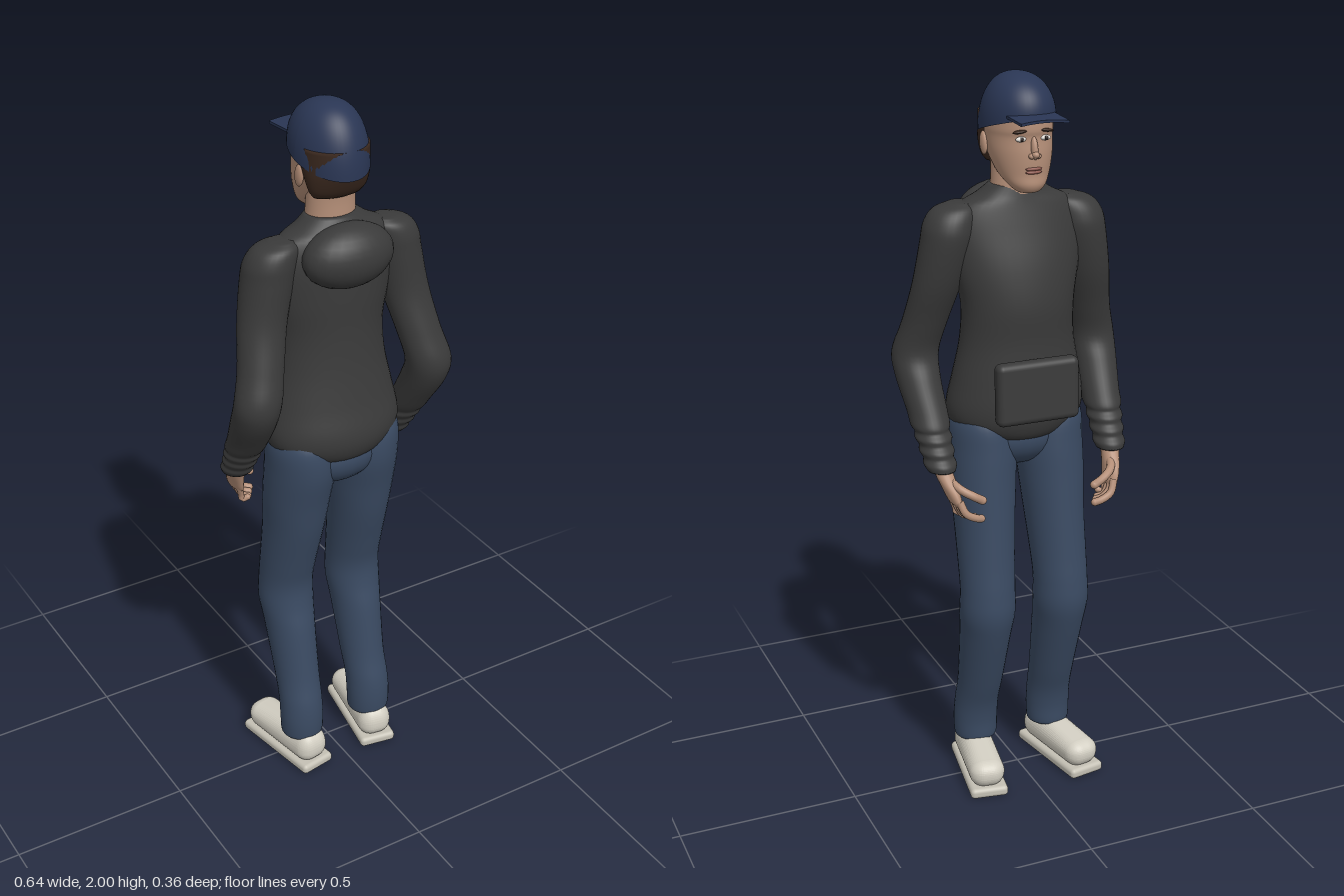
import * as THREE from 'three';
import { RoundedBoxGeometry } from 'three/addons/geometries/RoundedBoxGeometry.js';

const mat = (color, side = THREE.FrontSide) => new THREE.MeshStandardMaterial({ color, side });
const JACKET = mat(0x3a3a3a), JEANS = mat(0x3a4a62), CAP = mat(0x2a3654, THREE.DoubleSide);
const SKIN = mat(0xb58f78), HAIR = mat(0x3a281e), SHOE = mat(0xd2cec2), SOLE = mat(0xc4c0b4);
const WHITE = mat(0xe6e2dc), DARK = mat(0x2a2220), LIPS = mat(0x8f5a50);

export function createModel() {
  const model = new THREE.Group();
  const add = (name, geometry, material, parent = model) => {
    const mesh = new THREE.Mesh(geometry, material);
    mesh.name = name;
    parent.add(mesh);
    return mesh;
  };
  const ball = (name, material, [x, y, z], [rx, ry, rz], parent = model) => {
    const mesh = add(name, new THREE.SphereGeometry(1, 24, 16), material, parent);
    mesh.position.set(x, y, z);
    mesh.scale.set(rx, ry, rz);
    return mesh;
  };

  // Smooth skin over horizontal ellipses, listed top to bottom: [x, y, z, rx, rz]
  function loft(sections, sides = 32, steps = 5) {
    const curve = (f) => new THREE.CatmullRomCurve3(sections.map(f), false, 'catmullrom', 0.5);
    const centres = curve((s) => new THREE.Vector3(s[0], s[1], s[2]));
    const radii = curve((s) => new THREE.Vector3(s[3], 0, s[4]));
    const rows = (sections.length - 1) * steps;
    const rings = [];
    for (let i = 0; i <= rows; i++) rings.push([centres.getPoint(i / rows), radii.getPoint(i / rows)]);
    const closed = new THREE.Vector3(1e-4, 0, 1e-4);
    rings.unshift([rings[0][0], closed]);
    rings.push([rings[rings.length - 1][0], closed]);
    const pos = [], index = [];
    rings.forEach(([c, r], i) => {
      for (let j = 0; j < sides; j++) {
        const a = (j / sides) * Math.PI * 2;
        pos.push(c.x + r.x * Math.cos(a), c.y, c.z + r.z * Math.sin(a));
        if (i === rings.length - 1) continue;
        const p = i * sides + j, q = i * sides + ((j + 1) % sides);
        index.push(p, q, p + sides, q, q + sides, p + sides);
      }
    });
    const g = new THREE.BufferGeometry();
    g.setAttribute('position', new THREE.Float32BufferAttribute(pos, 3));
    g.setIndex(index);
    g.computeVertexNormals();
    return g;
  }
  // Section of a centred part: [y, half width, back z, front z]
  const body = (list) => loft(list.map(([y, rx, b, f]) => [0, y, (b + f) / 2, rx, (b - f) / 2]), 40);

  // Jacket body, hood and front pocket
  add('jacketBody', body([
    [1.715, 0.07, 0.075, -0.04], [1.69, 0.105, 0.088, -0.045], [1.66, 0.16, 0.097, -0.052],
    [1.6, 0.185, 0.107, -0.068], [1.5, 0.175, 0.11, -0.095], [1.4, 0.157, 0.11, -0.11],
    [1.3, 0.16, 0.118, -0.106], [1.2, 0.18, 0.135, -0.11], [1.12, 0.194, 0.153, -0.112],
    [1.07, 0.18, 0.148, -0.105], [1.035, 0.13, 0.125, -0.085], [1.02, 0.07, 0.08, -0.04],
  ]), JACKET);
  ball('hood', JACKET, [0, 1.622, 0.1], [0.128, 0.085, 0.078]);
  const pocket = add('frontPocket', new RoundedBoxGeometry(0.234, 0.17, 0.045, 4, 0.018), JACKET);
  pocket.position.set(0, 1.185, -0.13);
  pocket.rotation.x = 0.03;

  // Seat of the trousers
  ball('trouserSeat', JEANS, [0, 1.03, 0.025], [0.15, 0.095, 0.11]);

  for (const s of [-1, 1]) {
    const shift = s < 0 ? -0.018 : 0;

    // Sleeve, with gathered folds at the cuff
    const arm = new THREE.Group();
    arm.name = 'arm';
    model.add(arm);
    const sleeve = [
      [0.15, 1.672, 0.03, 0.03, 0.03], [0.165, 1.655, 0.028, 0.06, 0.055], [0.18, 1.62, 0.025, 0.07, 0.068],
      [0.19, 1.57, 0.025, 0.07, 0.07], [0.212, 1.46, 0.04, 0.066, 0.062], [0.235, 1.35, 0.075, 0.062, 0.058],
      [0.255, 1.265, 0.098, 0.064, 0.06], [0.257, 1.2, 0.077, 0.06, 0.066], [0.251, 1.12, 0.03, 0.054, 0.06],
    ];
    for (let k = 0; k < 8; k++) {
      const t = k / 7, fold = k % 2 ? -0.0025 : 0.0025;
      sleeve.push([0.25 - 0.006 * t, 1.085 - 0.11 * t, 0.008 - 0.066 * t, 0.05 - 0.01 * t + fold, 0.054 - 0.01 * t + fold]);
    }
    add('sleeve', loft(sleeve.map(([x, y, z, rx, rz]) => [s * x, y, z + shift * Math.min(1, (1.67 - y) / 0.4), rx, rz])), JACKET, arm);

    // Hand: palm, four fingers, thumb
    const hand = new THREE.Group();
    hand.name = 'hand';
    hand.position.z = shift;
    arm.add(hand);
    add('palm', loft([
      [0.243, 1.0, -0.045, 0.026, 0.028], [0.24, 0.965, -0.066, 0.024, 0.03], [0.232, 0.93, -0.088, 0.02, 0.038],
      [0.224, 0.9, -0.1, 0.016, 0.038], [0.219, 0.887, -0.104, 0.009, 0.03],
    ].map(([x, ...rest]) => [s * x, ...rest]), 20), SKIN, hand);
    const digit = (name, points, r) => {
      const path = points.map(([x, y, z]) => new THREE.Vector3(s * x, y, z));
      add(name, new THREE.TubeGeometry(new THREE.CatmullRomCurve3(path), 10, r, 10), SKIN, hand);
      ball(name + 'Tip', SKIN, path[path.length - 1].toArray(), [r, r, r], hand);
    };
    for (let k = 0; k < 4; k++) {
      const z = -0.13 + k * 0.019, tip = 0.163 + k * 0.012;
      digit('finger', [[0.222 + k * 0.002, 0.905, z], [0.208 + k * 0.003, 0.872, z - 0.01],
        [tip + 0.015, 0.855, z - 0.011], [tip, 0.85 + (k === 3 ? 0.01 : 0), z - 0.006]], 0.0105 - k * 0.0006);
    }
    digit('thumb', [[0.232, 0.95, -0.085], [0.215, 0.935, -0.122], [0.186, 0.918, -0.138], [0.16, 0.902, -0.137]], 0.0115);

    // Trouser leg
    add('trouserLeg', loft([
      [0.11, 1.13, 0.03, 0.05, 0.07], [0.105, 1.08, 0.025, 0.083, 0.103], [0.099, 1.0, 0.02, 0.093, 0.11],
      [0.102, 0.9, 0.005, 0.09, 0.103], [0.104, 0.8, -0.01, 0.083, 0.097], [0.108, 0.68, -0.033, 0.078, 0.086],
      [0.11, 0.6, -0.047, 0.076, 0.081], [0.111, 0.53, -0.046, 0.077, 0.084], [0.111, 0.45, -0.027, 0.07, 0.083],
      [0.111, 0.3, 0.01, 0.063, 0.07], [0.113, 0.22, 0.034, 0.062, 0.065], [0.114, 0.16, 0.043, 0.063, 0.062],
      [0.114, 0.11, 0.043, 0.061, 0.06], [0.114, 0.1, 0.043, 0.055, 0.054],
    ].map(([x, ...rest]) => [s * x, ...rest])), JEANS);

    // Shoe, toes turned outwards
    const shoe = new THREE.Group();
    shoe.name = 'shoe';
    shoe.position.set(s * 0.128, 0, -0.018);
    shoe.rotation.y = -s * 0.17;
    model.add(shoe);
    add('sole', new RoundedBoxGeometry(0.108, 0.03, 0.29, 3, 0.012), SOLE, shoe).position.y = 0.015;
    const upper = new RoundedBoxGeometry(0.1, 0.085, 0.28, 6, 0.04);
    const p = upper.attributes.position;
    for (let i = 0; i < p.count; i++) {
      const rise = THREE.MathUtils.smoothstep(p.getZ(i), -0.04, 0.08);
      if (p.getY(i) > 0) p.setY(i, p.getY(i) * (0.85 + 0.45 * rise));
    }
    upper.computeVertexNormals();
    add('upper', upper, SHOE, shoe).position.set(0, 0.064, 0);

    // Ear and eye with brow
    ball('ear', SKIN, [s * 0.089, 1.822, 0.012], [0.009, 0.03, 0.017]).rotation.x = 0.15;
    ball('eyeWhite', WHITE, [s * 0.034, 1.845, -0.1], [0.014, 0.007, 0.008]);
    ball('iris', DARK, [s * 0.034, 1.845, -0.105], [0.0055, 0.006, 0.005]);
    ball('eyebrow', HAIR, [s * 0.036, 1.864, -0.1], [0.02, 0.0045, 0.01]).rotation.z = -s * 0.12;
    ball('nostril', SKIN, [s * 0.009, 1.802, -0.111], [0.008, 0.007, 0.009]);
  }

  // Neck and head
  add('neck', body([
    [1.82, 0.066, 0.075, -0.04], [1.76, 0.066, 0.068, -0.038], [1.71, 0.068, 0.068, -0.043], [1.65, 0.075, 0.07, -0.048],
  ]), SKIN);
  add('head', body([
    [1.96, 0.06, 0.07, -0.06], [1.92, 0.083, 0.107, -0.1], [1.87, 0.088, 0.11, -0.109], [1.845, 0.087, 0.105, -0.105],
    [1.81, 0.084, 0.09, -0.108], [1.78, 0.077, 0.065, -0.108], [1.75, 0.066, 0.03, -0.106],
    [1.725, 0.05, -0.01, -0.107], [1.708, 0.032, -0.04, -0.098], [1.703, 0.015, -0.06, -0.085],
  ]), SKIN);
  ball('nose', SKIN, [0, 1.822, -0.108], [0.009, 0.03, 0.011]).rotation.x = 0.2;
  ball('noseTip', SKIN, [0, 1.806, -0.116], [0.01, 0.009, 0.011]);
  for (const y of [1.7685, 1.76]) ball('lip', LIPS, [0, y, -0.104], [0.023, 0.005, 0.0075]);

  // Hair below the cap
  add('hair', body([
    [1.9, 0.09, 0.118, -0.055], [1.86, 0.091, 0.118, -0.055], [1.825, 0.089, 0.108, -0.02],
    [1.79, 0.081, 0.092, 0.005], [1.77, 0.068, 0.077, 0.012],
  ]), HAIR);

  // Cap crown: a squared dome on a rim that rises towards the face
  const crown = new THREE.SphereGeometry(1, 48, 24, 0, Math.PI * 2, 0, Math.PI / 2);
  const v = crown.attributes.position;
  for (let i = 0; i < v.count; i++) {
    const r = Math.hypot(v.getX(i), v.getZ(i)), k = r > 1e-6 ? r ** -0.12 : 1;
    const z = 0.004 + v.getZ(i) * k * 0.122, rim = 1.862 - 0.28 * z;
    v.setXYZ(i, v.getX(i) * k * 0.097, rim + (2 - rim) * Math.max(0, v.getY(i)) ** 0.88, z);
  }
  crown.computeVertexNormals();
  add('capCrown', crown, CAP);

  // Cap brim, arched a little from side to side
  const brim = new THREE.BoxGeometry(0.132, 0.007, 0.1, 12, 1, 1);
  const b = brim.attributes.position;
  for (let i = 0; i < b.count; i++) b.setY(i, b.getY(i) - 1.2 * b.getX(i) ** 2);
  brim.computeVertexNormals();
  const brimMesh = add('capBrim', brim, CAP);
  brimMesh.position.set(0, 1.903, -0.127);
  brimMesh.rotation.x = -0.06;

  return model;
}
